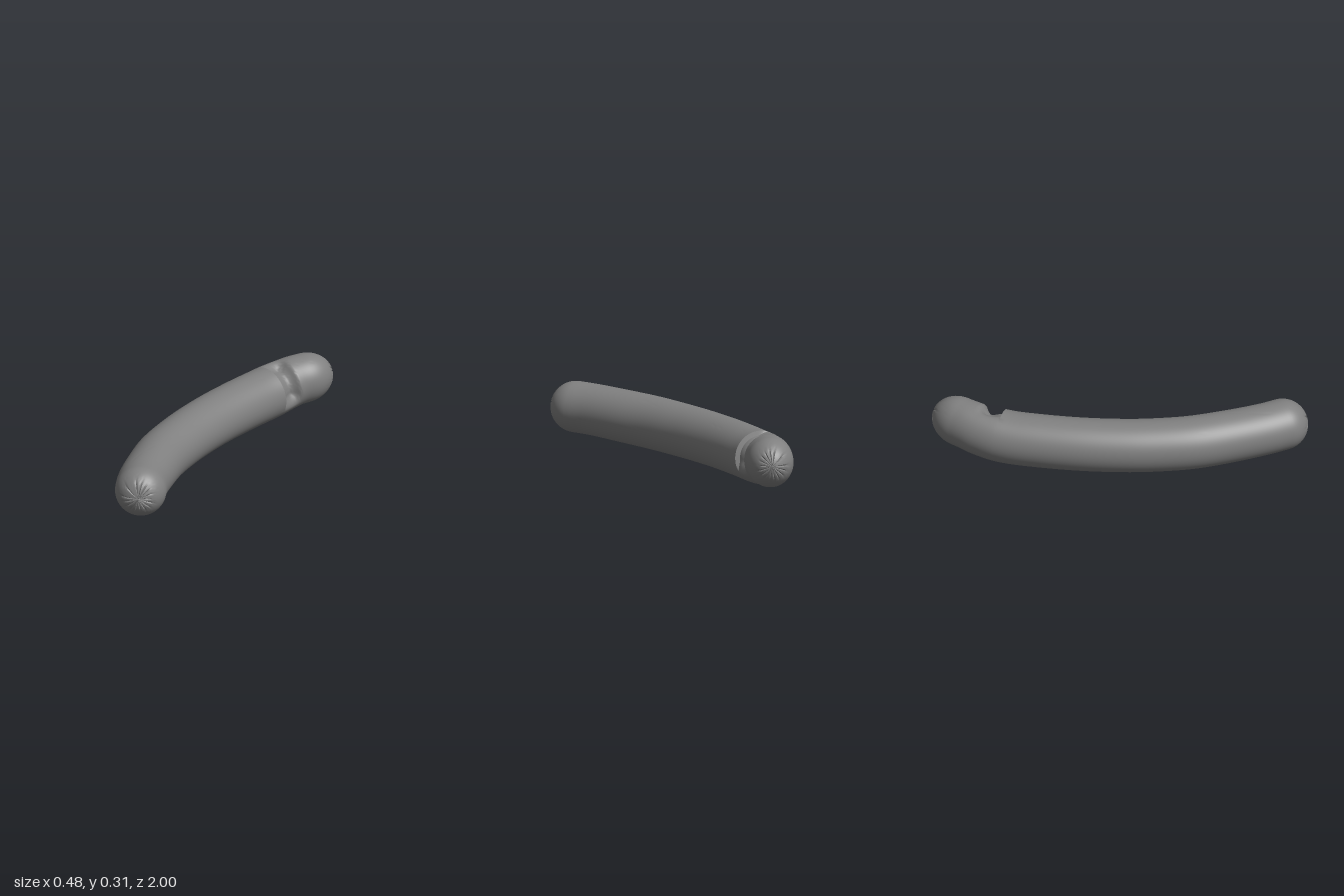
import * as THREE from 'three';
import { toCreasedNormals } from 'three/addons/utils/BufferGeometryUtils.js';

const SIDES = 72;
const smooth = THREE.MathUtils.smoothstep;

// Centre line from the front end to the back end: x, y, z
const spine = new THREE.CatmullRomCurve3([
  [0.1, 0.172, 0.862], [0.056, 0.168, 0.77], [-0.01, 0.158, 0.58], [-0.065, 0.15, 0.38],
  [-0.094, 0.145, 0.15], [-0.1, 0.144, 0], [-0.094, 0.144, -0.2], [-0.07, 0.145, -0.42],
  [-0.038, 0.148, -0.6], [0.004, 0.162, -0.74], [0.032, 0.171, -0.8], [0.062, 0.175, -0.85],
].map((p) => new THREE.Vector3(...p)));
const LENGTH = spine.getLength();

// Position along the spine where the torn skin edge stands
let cutU = 0.5;
while (spine.getPointAt(cutU).z > -0.632) cutU += 0.001;

function radiusAt(u) {
  return 0.137 + 0.005 * smooth(u, 0, 0.3) - 0.017 * smooth(u, 0.86, 1);
}

// Depth of the notch: a step at the skin edge, a sloping floor, then a steeper rise
function notchDepth(u, angle) {
  const d = (u - cutU) * LENGTH;
  if (d <= 0) return 0;
  const off = Math.abs(angle - 0.7);
  const spread = 1 - smooth(Math.min(off, Math.PI * 2 - off), 0.75, 1.3);
  const floor = 0.026 + 0.02 * smooth(d, 0, 0.08);
  return floor * spread * (1 - smooth(d, 0.075, 0.15));
}

// Uneven radial creases gathered around each end
function pucker(phi, j) {
  const wave = Math.sin(j * 2.3);
  if (j % 4 !== 0 || wave < -0.8) return 0;
  const reach = 0.6 + 0.45 * Math.abs(wave);
  return 0.006 * smooth(phi, Math.PI / 2 - reach, 1.1) * (1 - smooth(phi, 1.4, 1.56));
}

function buildSausage() {
  // Stations: front cap, body, doubled station at the cut, tapering back cap
  const stations = [];
  const CAP = 14, BODY = 44, TAIL = 26;
  for (let i = CAP; i > 0; i--) stations.push({ u: 0, phi: (i / CAP) * Math.PI / 2, cap: -0.137 });
  for (let i = 0; i <= BODY; i++) stations.push({ u: cutU * i / BODY, phi: 0, cap: 0 });
  for (let i = 0; i <= TAIL; i++) {
    stations.push({ u: cutU + 0.002 + (1 - cutU - 0.002) * i / TAIL, phi: 0, cap: 0 });
  }
  for (let i = 1; i <= CAP; i++) stations.push({ u: 1, phi: (i / CAP) * Math.PI / 2, cap: 0.16 });

  const positions = [], index = [];
  const up = new THREE.Vector3(0, 1, 0);
  stations.forEach(({ u, phi, cap }, i) => {
    const tangent = spine.getTangentAt(u);
    const side = tangent.clone().cross(up).normalize();
    const top = side.clone().cross(tangent).normalize();
    const tall = 1 + 0.07 * smooth(u, 0.88, 1);
    for (let j = 0; j < SIDES; j++) {
      const a = (j / SIDES) * Math.PI * 2;
      const crease = pucker(phi, j);
      const ring = (radiusAt(u) - crease) * Math.cos(phi) - notchDepth(u, a);
      const p = spine.getPointAt(u)
        .addScaledVector(tangent, (cap - Math.sign(cap) * crease) * Math.sin(phi))
        .addScaledVector(side, ring * Math.cos(a))
        .addScaledVector(top, ring * tall * Math.sin(a));
      positions.push(p.x, p.y, p.z);
      if (i < stations.length - 1) {
        const k = (j + 1) % SIDES, n = i * SIDES, m = n + SIDES;
        index.push(n + j, m + j, n + k, n + k, m + j, m + k);
      }
    }
  });

  const geometry = new THREE.BufferGeometry();
  geometry.setAttribute('position', new THREE.Float32BufferAttribute(positions, 3));
  geometry.setIndex(index);
  geometry.computeBoundingBox();
  geometry.translate(0, -geometry.boundingBox.min.y, 0);
  return toCreasedNormals(geometry, 0.7);
}

export function createModel() {
  const group = new THREE.Group();
  group.name = 'sausage';
  const body = new THREE.Mesh(buildSausage(), new THREE.MeshStandardMaterial({ color: 0x808080 }));
  body.name = 'notchedSausageBody';
  group.add(body);
  return group;
}
